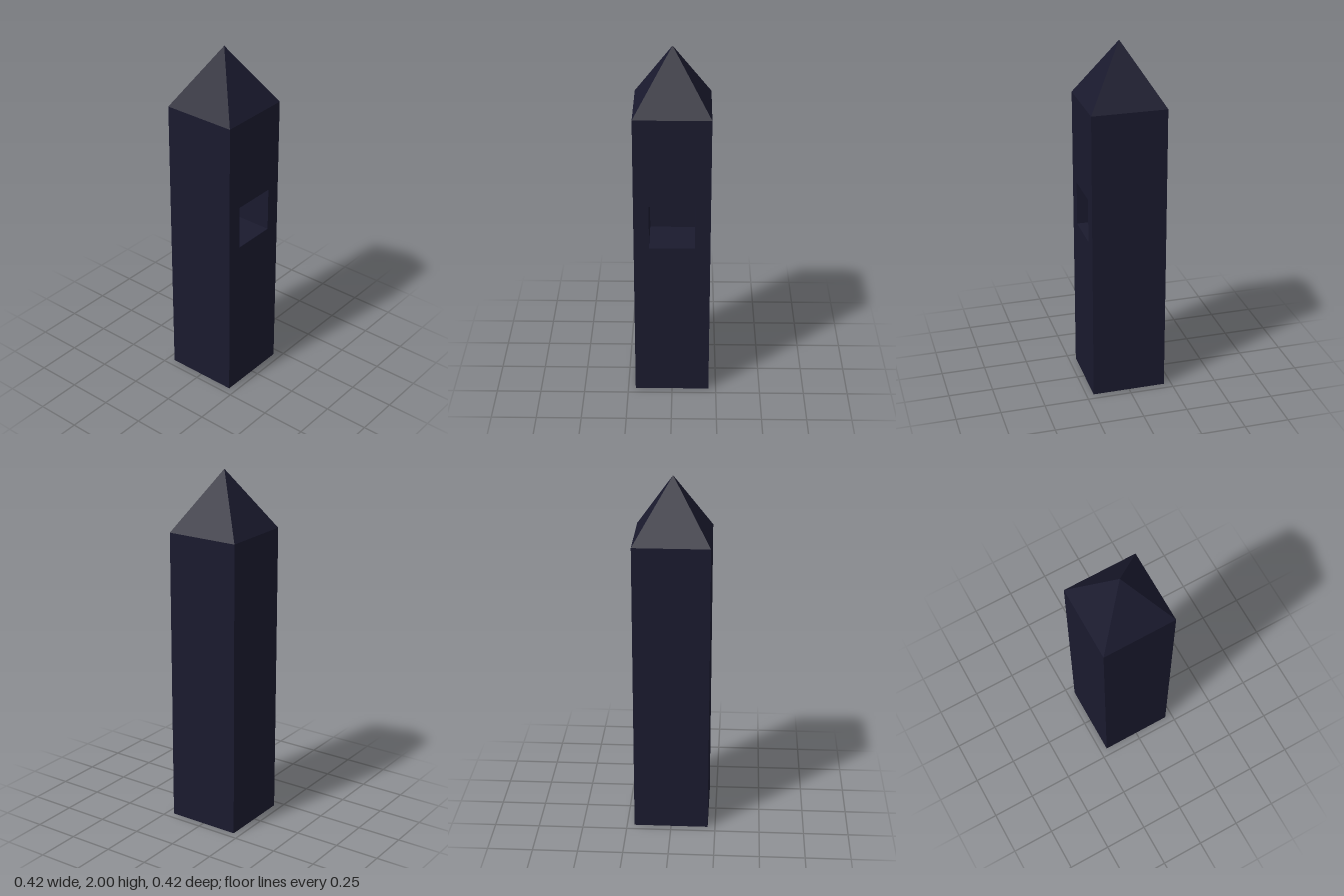
import * as THREE from 'three';

const WIDTH = 0.4167, BODY_H = 1.667, ROOF_H = 0.333;
const WIN = 0.25, WIN_Y = 1.042, WIN_DEPTH = 0.25;

// Box without its +x face; inward = true turns the remaining faces to the inside
function openBox(w, h, d, inward = false) {
  const geo = new THREE.BoxGeometry(w, h, d);
  const index = Array.from(geo.index.array).slice(6);
  geo.clearGroups();
  geo.setIndex(inward ? index.reverse() : index);
  geo.computeVertexNormals();
  return geo;
}

export function createModel() {
  const model = new THREE.Group();
  model.name = 'tower';
  const material = new THREE.MeshStandardMaterial({ color: 0x1a1a2e, flatShading: true });
  const add = (name, geometry, x, y) => {
    const mesh = new THREE.Mesh(geometry, material);
    mesh.name = name;
    mesh.position.set(x, y, 0);
    model.add(mesh);
  };

  // Square shaft, open on the window side
  add('shaft', openBox(WIDTH, BODY_H, WIDTH), 0, BODY_H / 2);

  // Wall with a square window opening, facing +x
  const half = WIDTH / 2, r = WIN / 2;
  const wall = new THREE.Shape([
    new THREE.Vector2(-half, 0), new THREE.Vector2(half, 0),
    new THREE.Vector2(half, BODY_H), new THREE.Vector2(-half, BODY_H),
  ]);
  wall.holes.push(new THREE.Path([
    new THREE.Vector2(-r, WIN_Y - r), new THREE.Vector2(-r, WIN_Y + r),
    new THREE.Vector2(r, WIN_Y + r), new THREE.Vector2(r, WIN_Y - r),
  ]));
  add('windowWall', new THREE.ShapeGeometry(wall).rotateY(Math.PI / 2), half, 0);

  // Recess behind the opening
  add('windowRecess', openBox(WIN_DEPTH, WIN, WIN, true), half - WIN_DEPTH / 2, WIN_Y);

  // Four-sided pointed roof
  const roof = new THREE.ConeGeometry(half * Math.SQRT2, ROOF_H, 4, 1, true).rotateY(Math.PI / 4);
  add('roof', roof, 0, BODY_H + ROOF_H / 2);

  return model;
}
